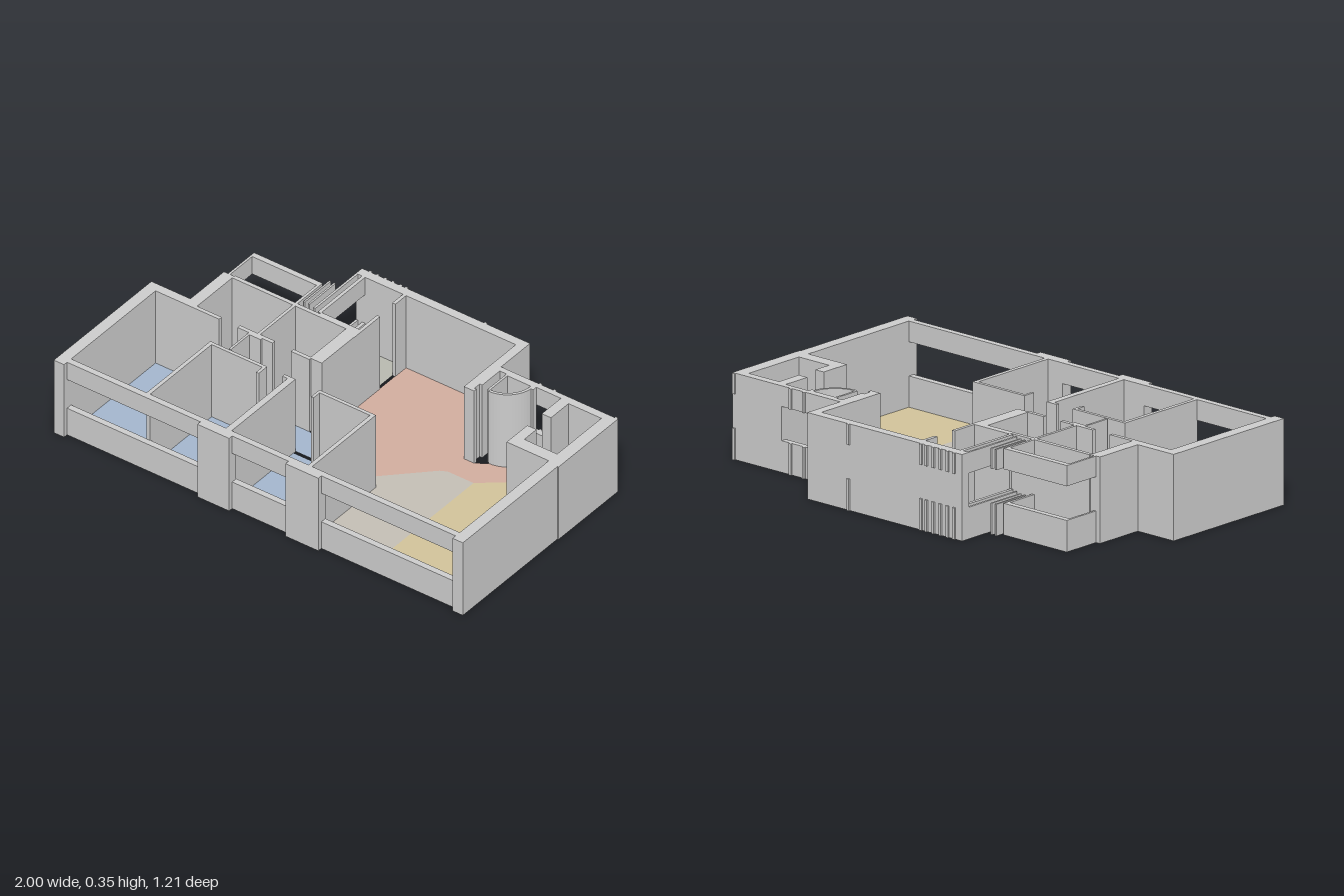
import * as THREE from 'three';

const H = 0.355, SILL = 0.13, HEAD = 0.27;
const grey = new THREE.MeshStandardMaterial({ color: 0xcccccc });

function box(parent, x0, x1, y0, y1, z0, z1) {
  const mesh = new THREE.Mesh(new THREE.BoxGeometry(x1 - x0, y1 - y0, z1 - z0), grey);
  mesh.position.set((x0 + x1) / 2, (y0 + y1) / 2, (z0 + z1) / 2);
  parent.add(mesh);
  return mesh;
}

function group(parent, name) {
  const g = new THREE.Group();
  g.name = name;
  parent.add(g);
  return g;
}

// Full-height walls, each given as [x0, x1, z0, z1]
function walls(parent, name, list) {
  const g = group(parent, name);
  for (const [x0, x1, z0, z1] of list) box(g, x0, x1, 0, H, z0, z1).name = 'wall';
}

// Walls with a window band: a sill below and a header above
function windows(parent, name, list) {
  const g = group(parent, name);
  for (const [x0, x1, z0, z1] of list) {
    box(g, x0, x1, 0, SILL, z0, z1).name = 'windowSill';
    box(g, x0, x1, HEAD, H, z0, z1).name = 'windowHeader';
  }
}

// Thin floor from an outline of [x, z] corners
function floor(parent, name, color, points) {
  const shape = new THREE.Shape(points.map(([x, z]) => new THREE.Vector2(x, -z)));
  const material = new THREE.MeshStandardMaterial({ color, side: THREE.DoubleSide });
  const mesh = new THREE.Mesh(new THREE.ShapeGeometry(shape), material);
  mesh.rotation.x = -Math.PI / 2;
  mesh.position.y = 0.002;
  mesh.name = name;
  parent.add(mesh);
}

const rect = (x0, x1, z0, z1) => [[x0, z0], [x1, z0], [x1, z1], [x0, z1]];

export function createModel() {
  const model = new THREE.Group();
  model.name = 'apartmentPlan';

  // Outer shell
  walls(model, 'outerWalls', [
    [-1, -0.95, -0.04, 0.6],
    [-0.95, -0.8, -0.04, 0],
    [-0.81, -0.76, -0.26, 0],
    [-0.39, 0.43, -0.6, -0.56],
    [0.39, 0.43, -0.56, -0.22],
    [0.74, 1, -0.41, -0.375],
    [0.945, 1, -0.375, -0.02],
    [0.945, 0.995, -0.02, 0.6],
  ]);

  // Front piers standing proud of the window wall
  walls(model, 'frontPiers', [
    [-0.3, -0.145, 0.553, 0.6],
    [0.13, 0.29, 0.553, 0.6],
  ]);
  windows(model, 'frontWindows', [
    [-0.95, -0.3, 0.553, 0.58],
    [-0.145, 0.13, 0.553, 0.58],
    [0.29, 0.945, 0.553, 0.58],
  ]);

  // Balcony, service shaft and kitchen openings
  windows(model, 'rearWindows', [
    [-0.79, -0.455, -0.43, -0.405],
    [-0.79, -0.78, -0.405, -0.26],
    [-0.467, -0.455, -0.405, -0.26],
    [-0.445, -0.437, -0.46, -0.29],
    [-0.422, -0.414, -0.46, -0.29],
    [-0.39, -0.38, -0.56, -0.28],
    [-0.36, -0.345, -0.56, -0.27],
    [0.43, 0.74, -0.41, -0.385],
  ]);

  // Slim fins on the rear face
  windows(model, 'rearFins',
    [-0.35, -0.315, -0.277, -0.24, -0.203, -0.175, 0.21].map(x => [x - 0.006, x + 0.006, -0.607, -0.6])
      .concat([0.62, 0.69, 0.99].map(x => [x - 0.006, x + 0.006, -0.417, -0.41])));

  // Washrooms
  walls(model, 'washroomWalls', [
    [-0.76, -0.2, -0.265, -0.247],
    [-0.465, -0.452, -0.247, -0.015],
    [-0.205, -0.147, -0.27, -0.01],
    [-0.76, -0.64, -0.017, 0],
    [-0.55, -0.38, -0.017, 0],
    [-0.29, -0.2, -0.017, 0],
    [-0.495, -0.485, 0, 0.13],
    [-0.485, -0.43, 0, 0.01],
  ]);

  // Service room beside the living room, with a doorway
  walls(model, 'serviceWalls', [
    [-0.16, -0.145, -0.56, -0.49],
    [-0.16, -0.145, -0.39, -0.22],
    [-0.345, -0.16, -0.275, -0.262],
  ]);

  // Bedroom partitions with short door returns
  walls(model, 'bedroomWalls', [
    [-0.582, -0.565, 0.135, 0.555],
    [-0.565, -0.31, 0.135, 0.15],
    [-0.318, -0.305, 0.135, 0.19],
    [-0.195, -0.167, 0.135, 0.555],
    [-0.22, -0.195, 0.135, 0.15],
    [-0.045, 0.225, 0.135, 0.15],
    [-0.05, -0.038, 0.135, 0.19],
    [0.207, 0.225, 0.15, 0.555],
  ]);

  // Kitchen entrance and utility room
  walls(model, 'kitchenWalls', [
    [0.43, 0.442, -0.385, -0.27],
    [0.39, 0.44, -0.235, -0.22],
    [0.475, 0.485, -0.385, -0.26],
    [0.6, 0.62, -0.385, -0.365],
    [0.485, 0.61, -0.39, -0.378],
  ]);
  walls(model, 'utilityWalls', [
    [0.74, 0.785, -0.375, -0.26],
    [0.74, 0.785, -0.165, -0.03],
    [0.785, 0.945, -0.085, -0.03],
  ]);

  // Curved screen by the kitchen entrance
  const arc = new THREE.Shape();
  arc.absarc(0.485, 0.378, 0.125, -Math.PI / 2, 0, false);
  arc.absarc(0.485, 0.378, 0.113, 0, -Math.PI / 2, true);
  const screen = new THREE.Mesh(
    new THREE.ExtrudeGeometry(arc, { depth: H, bevelEnabled: false, curveSegments: 8 }), grey);
  screen.rotation.x = -Math.PI / 2;
  screen.name = 'curvedScreen';
  model.add(screen);

  // Room floors
  const blue = 0xa3b5cc, teal = 0x9bc3c3, stone = 0xc3bdb4;
  const floors = group(model, 'floors');
  floor(floors, 'mainBedroomFloor', blue, [
    [-0.95, 0], [-0.17, 0], [-0.17, -0.055], [-0.05, -0.055], [0.125, 0.135],
    [-0.575, 0.135], [-0.575, 0.555], [-0.95, 0.555]]);
  floor(floors, 'middleBedroomFloor', blue, rect(-0.567, -0.193, 0.148, 0.555));
  floor(floors, 'smallBedroomFloor', blue, rect(-0.168, 0.208, 0.148, 0.555));
  floor(floors, 'washroomFloorA', teal, rect(-0.762, -0.465, -0.248, -0.015));
  floor(floors, 'washroomFloorB', teal, rect(-0.453, -0.205, -0.248, -0.015));
  floor(floors, 'balconyFloor', stone, rect(-0.782, -0.465, -0.406, -0.263));
  floor(floors, 'serviceFloor', 0xb7b8af, rect(-0.346, -0.158, -0.561, -0.27));
  floor(floors, 'livingFloor', 0xd0ac9e, [
    [-0.147, -0.561], [0.391, -0.561], [0.391, -0.222], [0.44, -0.222], [0.5, -0.26],
    [0.57, -0.29], [0.62, -0.34], [0.62, -0.2], [0.515, -0.115], [0.39, -0.115],
    [0.36, -0.1], [0.125, 0.135], [-0.05, -0.055], [-0.147, -0.055]]);
  floor(floors, 'hallFloor', stone, [
    [0.125, 0.135], [0.36, -0.1], [0.39, -0.115], [0.515, -0.115],
    [0.515, 0.555], [0.223, 0.555], [0.223, 0.135]]);
  floor(floors, 'diningFloor', 0xd0c299, [
    [0.515, -0.115], [0.62, -0.2], [0.62, -0.37], [0.742, -0.37], [0.742, -0.26],
    [0.68, -0.235], [0.645, -0.165], [0.742, -0.165], [0.742, -0.032],
    [0.946, -0.032], [0.946, 0.555], [0.515, 0.555]]);
  floor(floors, 'entryFloor', stone, rect(0.484, 0.595, -0.38, -0.27));
  floor(floors, 'utilityFloor', stone, rect(0.784, 0.946, -0.376, -0.084));

  return model;
}
